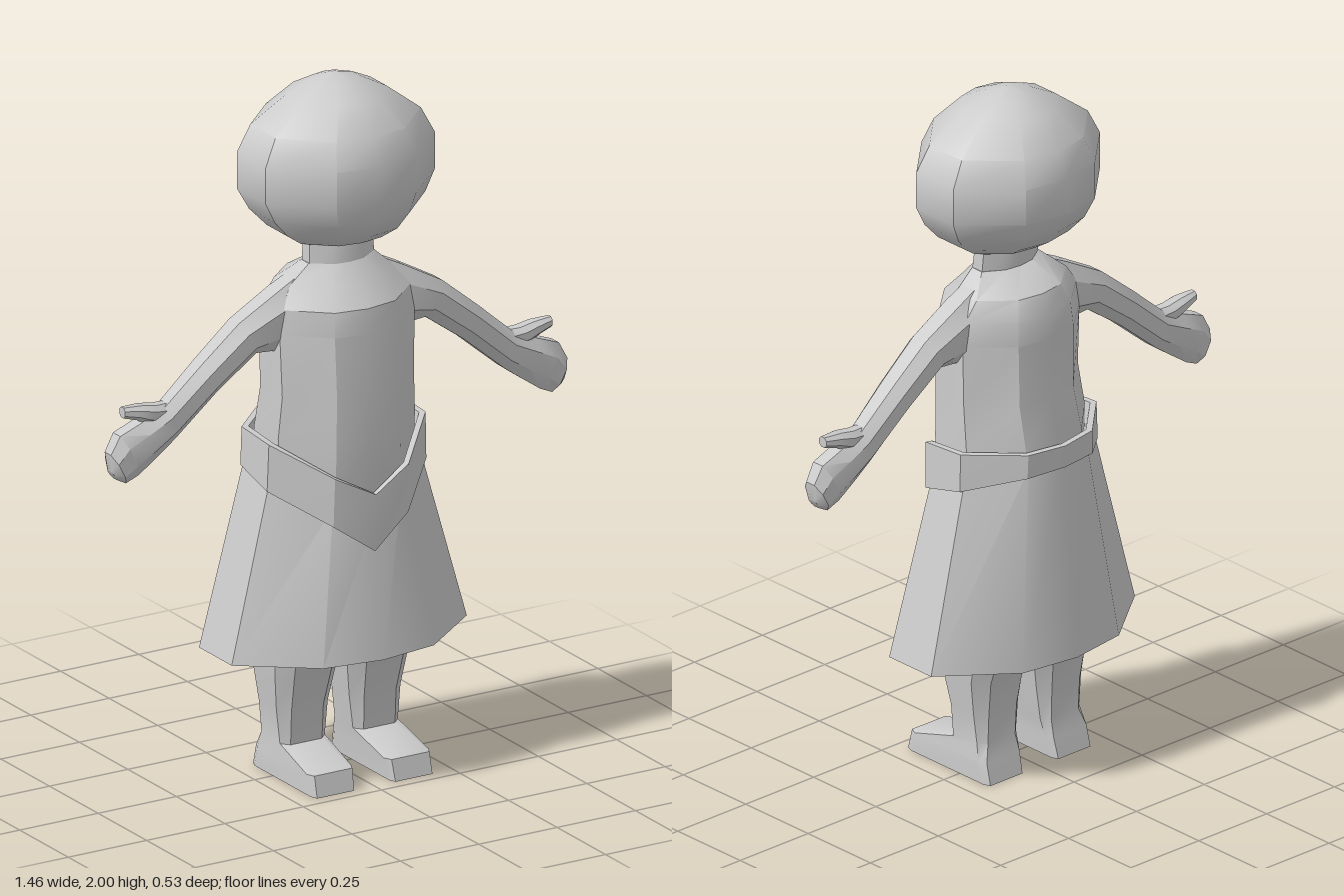
import * as THREE from 'three';
import { toCreasedNormals } from 'three/addons/utils/BufferGeometryUtils.js';

const material = new THREE.MeshStandardMaterial({ color: 0xcccccc });

// Joins rings of points with quads; capped ends fan out from the ring centre.
function loft(name, rings, { caps = true, mirror = false } = {}) {
  if (mirror) rings = rings.map((r) => r.map(([x, y, z]) => [-x, y, z]).reverse());
  const pos = [];
  const tri = (...points) => points.forEach((p) => pos.push(...p));
  const cap = (ring, flip) => {
    const centre = [0, 1, 2].map((k) => ring.reduce((sum, p) => sum + p[k], 0) / ring.length);
    ring.forEach((p, i) => {
      const q = ring[(i + 1) % ring.length];
      if (flip) tri(centre, q, p);
      else tri(centre, p, q);
    });
  };
  for (let k = 0; k + 1 < rings.length; k++) {
    const low = rings[k], high = rings[k + 1], n = low.length;
    for (let i = 0; i < n; i++) {
      const j = (i + 1) % n;
      tri(low[i], low[j], high[j]);
      tri(low[i], high[j], high[i]);
    }
  }
  if (caps) {
    cap(rings[0], true);
    cap(rings[rings.length - 1], false);
  }
  const geometry = new THREE.BufferGeometry();
  geometry.setAttribute('position', new THREE.Float32BufferAttribute(pos, 3));
  const mesh = new THREE.Mesh(toCreasedNormals(geometry, 0.55), material);
  mesh.name = name;
  return mesh;
}

// Ten-sided body section; y is one height, or six heights from front to back.
function bodyRing([y, w, front, back]) {
  const c = (front + back) / 2, d = (front - back) / 2;
  const height = (i) => (Array.isArray(y) ? y[i] : y);
  const half = [[0, 1], [0.47, 0.9], [1, 0.32], [1, -0.32], [0.47, -0.9], [0, -1]]
    .map(([x, z], i) => [x * w, height(i), c + z * d]);
  const otherSide = half.slice(1, 5).reverse().map(([x, py, z]) => [-x, py, z]);
  return [...half, ...otherSide];
}

// Eight-sided arm section between an upper and a lower edge point.
function armRing([topX, topY, lowX, lowY, hz, zc = 0.015]) {
  const outline = [[0, 0.45], [0.28, 1], [0.72, 1], [1, 0.45], [1, -0.45], [0.72, -1], [0.28, -1], [0, -0.45]];
  return outline.map(([t, s]) => [
    topX + (lowX - topX) * t, topY + (lowY - topY) * t, zc + s * hz,
  ]);
}

// Eight-sided leg section, which may slope down from back to front.
function legRing([yFront, yBack, x0, x1, front, back, chamfer]) {
  const cx = (x0 + x1) / 2, hx = (x1 - x0) / 2, k = 1 - chamfer;
  const outline = [[-k, 1], [k, 1], [1, k], [1, -k], [k, -1], [-k, -1], [-1, -k], [-1, k]];
  return outline.map(([x, z]) => {
    const t = (z + 1) / 2;
    return [cx + x * hx, yBack + (yFront - yBack) * t, back + (front - back) * t];
  });
}

export function createModel() {
  const model = new THREE.Group();
  model.name = 'childFigure';

  // Head with neck
  model.add(loft('headAndNeck', [
    [1.45, 0.105, 0.09, -0.035],
    [1.53, 0.1, 0.08, -0.035],
    [1.55, 0.145, 0.15, -0.09],
    [1.585, 0.195, 0.2, -0.145],
    [1.635, 0.24, 0.232, -0.19],
    [1.695, 0.27, 0.247, -0.218],
    [1.8, 0.27, 0.247, -0.218],
    [1.875, 0.232, 0.215, -0.19],
    [1.95, 0.135, 0.145, -0.115],
    [1.985, 0.065, 0.07, -0.05],
    [2.0, 0.012, 0.022, -0.002],
  ].map(bodyRing)));

  // Torso
  model.add(loft('torso', [
    [0.72, 0.21, 0.175, -0.17],
    [0.83, 0.215, 0.197, -0.185],
    [1.0, 0.218, 0.202, -0.188],
    [1.12, 0.21, 0.198, -0.157],
    [1.3, 0.215, 0.19, -0.155],
    [1.37, 0.205, 0.182, -0.148],
    [1.425, 0.165, 0.13, -0.125],
    [1.478, 0.105, 0.085, -0.035],
  ].map(bodyRing)));

  // Skirt: hollow inside, thin hem, flared outside
  model.add(loft('skirt', [
    [0.72, 0.24, 0.185, -0.19],
    [0.385, 0.355, 0.245, -0.25],
    [0.38, 0.375, 0.262, -0.264],
    [[0.74, 0.81, 0.91, 0.94, 0.95, 0.95], 0.232, 0.195, -0.205],
  ].map(bodyRing)));

  // Belt dipping to a point at the front
  const beltTop = [0.845, 0.905, 0.99, 1.0, 1.0, 1.0];
  const beltBottom = [0.68, 0.765, 0.855, 0.89, 0.93, 0.935];
  model.add(loft('belt', [
    [beltBottom, 0.21, 0.18, -0.18],
    [beltBottom, 0.254, 0.217, -0.215],
    [beltTop, 0.25, 0.222, -0.217],
    [beltTop, 0.232, 0.206, -0.199],
    [beltBottom, 0.21, 0.18, -0.18],
  ].map(bodyRing), { caps: false }));

  for (const mirror of [false, true]) {
    const side = mirror ? 'right' : 'left';

    // Arm and mitten hand
    model.add(loft(side + 'Arm', [
      [0.1, 1.465, 0.14, 1.25, 0.05],
      [0.2, 1.415, 0.2, 1.245, 0.06],
      [0.325, 1.345, 0.27, 1.25, 0.055],
      [0.44, 1.25, 0.395, 1.16, 0.05],
      [0.56, 1.145, 0.525, 1.05, 0.043],
      [0.635, 1.115, 0.58, 1.01, 0.044],
      [0.7, 1.09, 0.64, 0.968, 0.042],
      [0.728, 1.04, 0.68, 0.95, 0.036],
      [0.724, 0.99, 0.705, 0.962, 0.016],
    ].map(armRing), { mirror }));

    // Thumb
    model.add(loft(side + 'Thumb', [
      [0.53, 1.155, 0.56, 1.09, 0.025],
      [0.58, 1.155, 0.615, 1.11, 0.03],
      [0.625, 1.163, 0.645, 1.125, 0.028],
      [0.682, 1.165, 0.682, 1.135, 0.015],
    ].map(armRing), { mirror }));

    // Upper leg, mostly under the skirt
    model.add(loft(side + 'Thigh', [
      [0.34, 0.34, 0.03, 0.205, 0.075, -0.105, 0.4],
      [0.74, 0.74, 0.015, 0.2, 0.1, -0.12, 0.4],
    ].map(legRing), { mirror }));

    // Lower leg and foot
    model.add(loft(side + 'LegAndFoot', [
      [0, 0, 0.058, 0.192, 0.215, -0.115, 0.12],
      [0.06, 0.06, 0.052, 0.194, 0.2, -0.1, 0.15],
      [0.1, 0.11, 0.045, 0.188, 0.05, -0.086, 0.3],
      [0.2, 0.2, 0.034, 0.198, 0.055, -0.09, 0.38],
      [0.3, 0.3, 0.018, 0.212, 0.08, -0.105, 0.4],
      [0.365, 0.365, 0.01, 0.218, 0.096, -0.13, 0.4],
    ].map(legRing), { mirror }));
  }
  return model;
}
